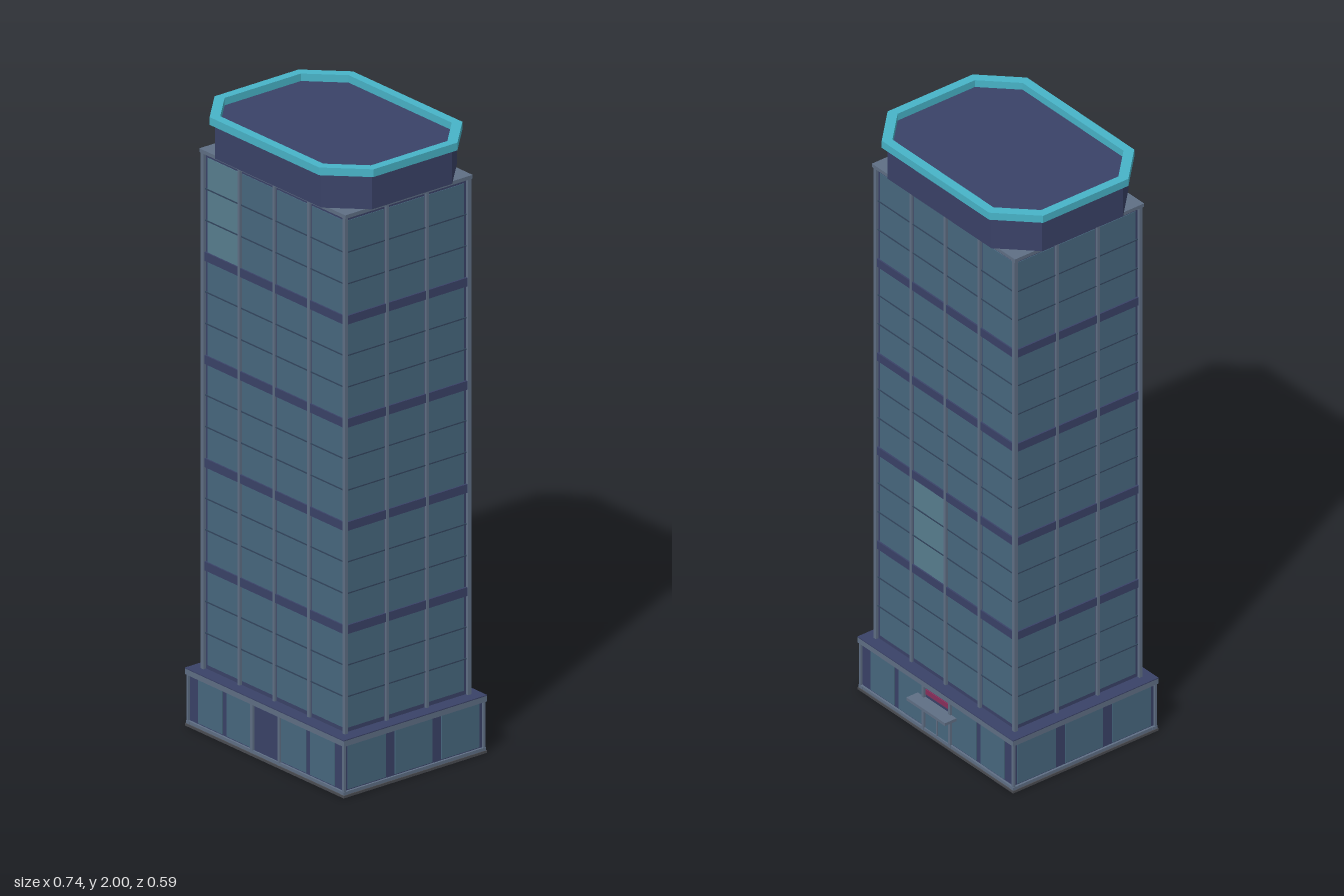
import * as THREE from 'three';

const mat = (color) => new THREE.MeshStandardMaterial({ color });

export function createModel() {
  const navy = mat(0x3a4268), glass = mat(0x47687f), paleGlass = mat(0x587f90);
  const grey = mat(0x5f6f85), teal = mat(0x48b4c8), dark = mat(0x33465e);
  const underside = mat(0x4a4c52), magenta = mat(0x8a2f5c);
  const model = new THREE.Group();
  model.name = 'officeTower';

  // Box given by its limits on each axis
  const box = (parent, name, m, x0, x1, y0, y1, z0, z1) => {
    const mesh = new THREE.Mesh(new THREE.BoxGeometry(x1 - x0, y1 - y0, z1 - z0), m);
    mesh.position.set((x0 + x1) / 2, (y0 + y1) / 2, (z0 + z1) / 2);
    mesh.name = name;
    parent.add(mesh);
    return mesh;
  };

  const body = new THREE.Group();
  body.name = 'building';
  body.position.z = 0.0175;
  model.add(body);

  // Four facade groups; local +z points outward
  const sides = ['front', 'right', 'back', 'left'].map((side, k) => {
    const g = new THREE.Group();
    g.name = side + 'Facade';
    g.rotation.y = k * Math.PI / 2;
    body.add(g);
    return { g, k, wide: k % 2 === 0 };
  });

  // Podium
  const PX = 0.36, PZ = 0.268;
  box(body, 'podiumBase', underside, -0.37, 0.37, 0, 0.008, -0.278, 0.278);
  box(body, 'podiumCore', navy, -PX, PX, 0.008, 0.184, -PZ, PZ);
  box(body, 'podiumCornice', grey, -0.37, 0.37, 0.166, 0.184, -0.278, 0.278);
  box(body, 'podiumRoof', navy, -0.37, 0.37, 0.184, 0.187, -0.278, 0.278);
  for (const sx of [-1, 1]) for (const sz of [-1, 1]) {
    const post = box(body, 'podiumCornerPost', grey, -0.004, 0.004, 0.008, 0.166, -0.004, 0.004);
    post.position.x = sx * 0.363;
    post.position.z = sz * 0.271;
  }

  for (const { g, k, wide } of sides) {
    const d = wide ? PZ : PX;
    box(g, 'podiumSill', grey, wide ? -0.368 : -0.276, wide ? 0.368 : 0.276, 0.006, 0.018, d - 0.01, d + 0.007);
    const panes = wide
      ? [[-0.318, -0.205], [-0.185, -0.07], [0.07, 0.185], [0.205, 0.318]]
      : [[-0.255, -0.108], [-0.072, 0.072], [0.108, 0.255]];
    for (const [a, b] of panes) box(g, 'podiumWindow', glass, a, b, 0.022, 0.164, d - 0.01, d + 0.003);
    if (!wide) continue;
    // Entrances
    for (const s of [-1, 1]) {
      const x = s * 0.063;
      box(g, 'doorPost', grey, x - 0.005, x + 0.005, 0.008, 0.166, d - 0.01, d + 0.008);
    }
    if (k === 0) {
      box(g, 'frontDoor', navy, -0.056, 0.056, 0.018, 0.16, d - 0.01, d + 0.002);
    } else {
      box(g, 'backDoor', glass, -0.056, 0.056, 0.018, 0.115, d - 0.01, d + 0.003);
      box(g, 'doorDivider', grey, -0.003, 0.003, 0.018, 0.115, d - 0.01, d + 0.006);
      box(g, 'accentPanel', magenta, -0.055, 0.055, 0.138, 0.155, d - 0.01, d + 0.004);
      box(g, 'entranceCanopy', grey, -0.092, 0.092, 0.115, 0.125, d - 0.01, 0.315);
    }
  }

  // Tower shaft
  const TX = 0.325, TZ = 0.234, base = 0.187, top = 1.852, floors = 5;
  const step = (top - base) / floors, band = 0.014;
  box(body, 'towerCore', navy, -TX, TX, base, top, -TZ, TZ);
  box(body, 'towerCap', grey, -0.34, 0.34, top, 1.864, -0.247, 0.247);
  for (const sx of [-1, 1]) for (const sz of [-1, 1]) {
    const post = box(body, 'towerCornerPost', grey, -0.006, 0.006, base, top, -0.006, 0.006);
    post.position.x = sx * 0.33;
    post.position.z = sz * 0.239;
  }

  for (const { g, k, wide } of sides) {
    const half = wide ? TX : TZ, d = wide ? TZ : TX, bays = wide ? 4 : 3;
    const w = 2 * half / bays;
    for (let f = 0; f < floors; f++) {
      const y0 = base + f * step + band, y1 = base + (f + 1) * step - band;
      for (let b = 0; b < bays; b++) {
        const lit = (k === 0 && f === 4 && b === 0) || (k === 2 && f === 1 && b === 1);
        const x0 = -half + b * w;
        box(g, 'towerWindow', lit ? paleGlass : glass, x0 + 0.009, x0 + w - 0.009, y0, y1, d - 0.01, d + 0.002);
      }
      // Thin glazing bars split each storey group in three
      for (const t of [1 / 3, 2 / 3]) {
        const y = y0 + (y1 - y0) * t;
        box(g, 'glazingBar', dark, -half, half, y - 0.002, y + 0.002, d - 0.01, d + 0.004);
      }
      if (f) {
        const y = base + f * step;
        box(g, 'spandrelBand', navy, -half, half, y - band, y + band, d - 0.01, d + 0.007);
      }
    }
    for (let b = 1; b < bays; b++) {
      const x = -half + b * w;
      box(g, 'mullion', grey, x - 0.005, x + 0.005, base, top, d - 0.01, d + 0.009);
    }
  }

  // Crown: octagonal drum with a raised rim
  const octagon = (P, x, z, c) => {
    const o = new P();
    const pts = [[x, z - c], [x - c, z], [c - x, z], [-x, z - c], [-x, c - z], [c - x, -z], [x - c, -z], [x, c - z]];
    pts.forEach(([a, b], i) => (i ? o.lineTo(a, b) : o.moveTo(a, b)));
    o.closePath();
    return o;
  };
  const slab = (name, m, shape, y0, y1) => {
    const geo = new THREE.ExtrudeGeometry(shape, { depth: y1 - y0, bevelEnabled: false });
    geo.rotateX(-Math.PI / 2);
    const mesh = new THREE.Mesh(geo, m);
    mesh.position.y = y0;
    mesh.name = name;
    body.add(mesh);
  };
  slab('crownDrum', navy, octagon(THREE.Shape, 0.355, 0.263, 0.108), 1.864, 1.976);
  const rim = octagon(THREE.Shape, 0.37, 0.278, 0.115);
  rim.holes.push(octagon(THREE.Path, 0.341, 0.249, 0.101));
  slab('crownRim', teal, rim, 1.975, 2);

  return model;
}
